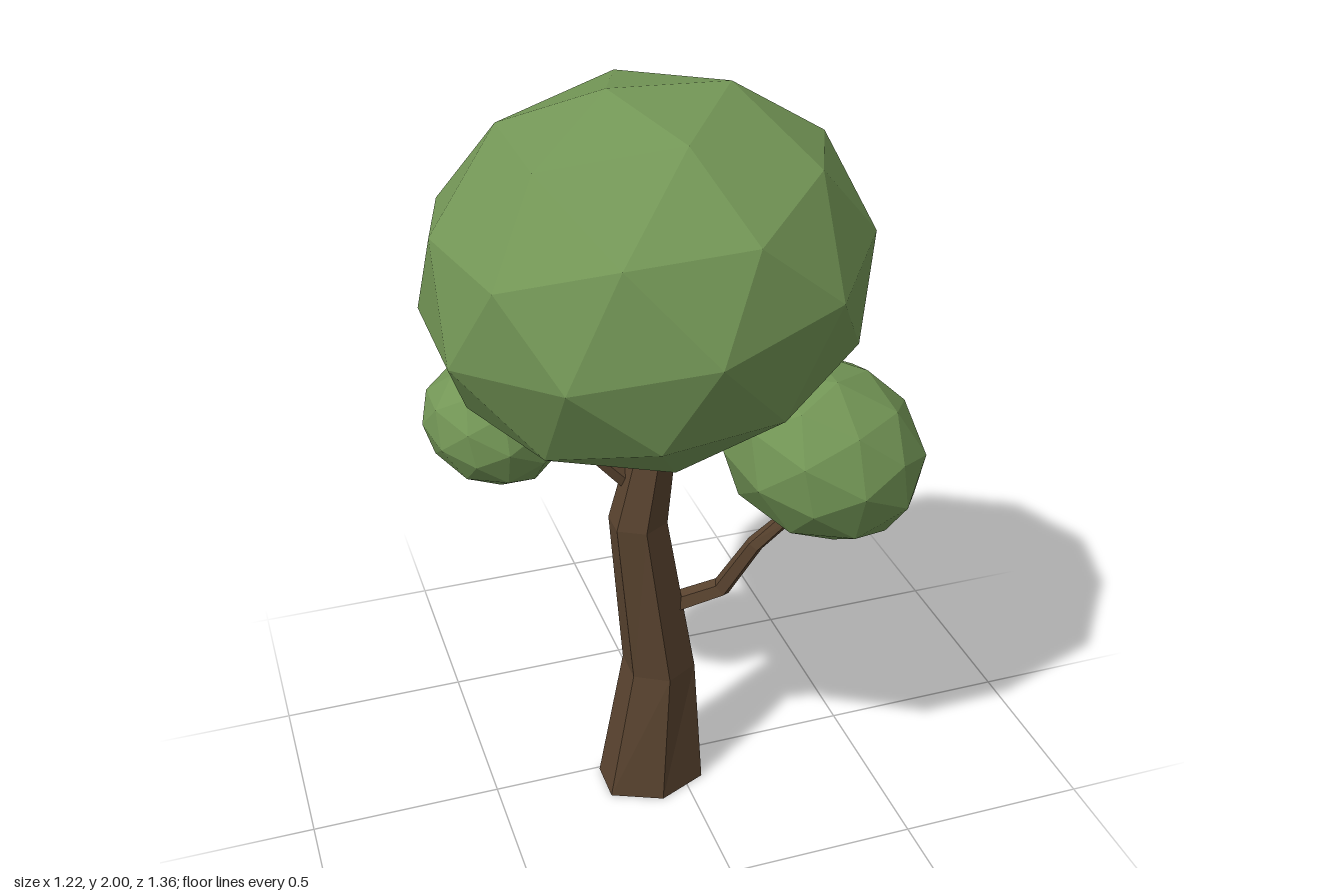
import * as THREE from 'three';

const leafMat = new THREE.MeshStandardMaterial({ color: 0x739656, flatShading: true });
const barkMat = new THREE.MeshStandardMaterial({ color: 0x59432f, flatShading: true });

// Faceted leaf ball with one vertex at the pole, squashed and tilted
function foliage(name, position, radii, rotation) {
  const geo = new THREE.IcosahedronGeometry(1, 1);
  geo.rotateZ(-Math.atan(2 / (1 + Math.sqrt(5))));
  geo.scale(...radii);
  const mesh = new THREE.Mesh(geo, leafMat);
  mesh.name = name;
  mesh.position.set(...position);
  mesh.rotation.set(...rotation);
  return mesh;
}

// Faceted limb through stations [x, y, z, half width, half depth], base first
function limb(name, stations, sides, upright) {
  const last = stations.length - 1;
  const centres = stations.map(([x, y, z]) => new THREE.Vector3(x, y, z));
  const up = new THREE.Vector3(0, 1, 0);
  const turns = centres.map((c, i) => {
    const dir = centres[Math.min(i + 1, last)].clone().sub(centres[Math.max(i - 1, 0)]).normalize();
    return new THREE.Quaternion().setFromUnitVectors(up, upright ? up : dir);
  });
  const geo = new THREE.CylinderGeometry(1, 1, 1, sides, last);
  const pos = geo.attributes.position;
  const v = new THREE.Vector3();
  for (let k = 0; k < pos.count; k++) {
    const i = Math.round((pos.getY(k) + 0.5) * last);
    const [, , , rx, rz = rx] = stations[i];
    v.set(pos.getX(k) * rx, 0, pos.getZ(k) * rz).applyQuaternion(turns[i]).add(centres[i]);
    pos.setXYZ(k, v.x, v.y, v.z);
  }
  geo.computeVertexNormals();
  const mesh = new THREE.Mesh(geo, barkMat);
  mesh.name = name;
  return mesh;
}

export function createModel() {
  const tree = new THREE.Group();
  tree.name = 'tree';

  // Trunk, bending left and back to the right
  tree.add(limb('trunk', [
    [-0.08, 0, 0.065, 0.15, 0.115],
    [-0.05, 0.37, 0.05, 0.098, 0.098],
    [-0.105, 0.83, 0.055, 0.077, 0.075],
    [-0.045, 1.15, 0.06, 0.05, 0.05],
    [-0.04, 1.3, 0.08, 0.04, 0.04],
  ], 6, true));

  // Branches
  tree.add(limb('lowBranch', [
    [-0.04, 0.55, 0.06, 0.03],
    [0.1, 0.62, 0.12, 0.027],
    [0.17, 0.77, 0.17, 0.023],
    [0.25, 0.85, 0.19, 0.02],
    [0.34, 0.98, 0.17, 0.015],
  ], 5));
  tree.add(limb('sideBranch', [
    [-0.08, 0.9, 0.05, 0.028],
    [-0.19, 1.01, 0.02, 0.023],
    [-0.27, 1.04, -0.02, 0.02],
    [-0.42, 1.1, -0.06, 0.015],
  ], 5));
  tree.add(limb('backBranch', [
    [-0.08, 0.8, 0.03, 0.03],
    [-0.04, 0.9, -0.06, 0.025],
    [0, 1.0, -0.25, 0.02],
  ], 5));

  // Foliage
  tree.add(foliage('crown', [-0.115, 1.567, 0.16], [0.53, 0.44, 0.53], [0, 0, 0.19]));
  tree.add(foliage('lowFoliage', [0.345, 1.02, 0.163], [0.272, 0.227, 0.272], [0, 0, -0.52]));
  tree.add(foliage('sideFoliage', [-0.44, 1.112, -0.06], [0.18, 0.15, 0.18], [0, 0, -0.53]));
  tree.add(foliage('backFoliage', [0.015, 1.08, -0.38], [0.328, 0.168, 0.335], [0.53, 0, -0.17]));
  return tree;
}
